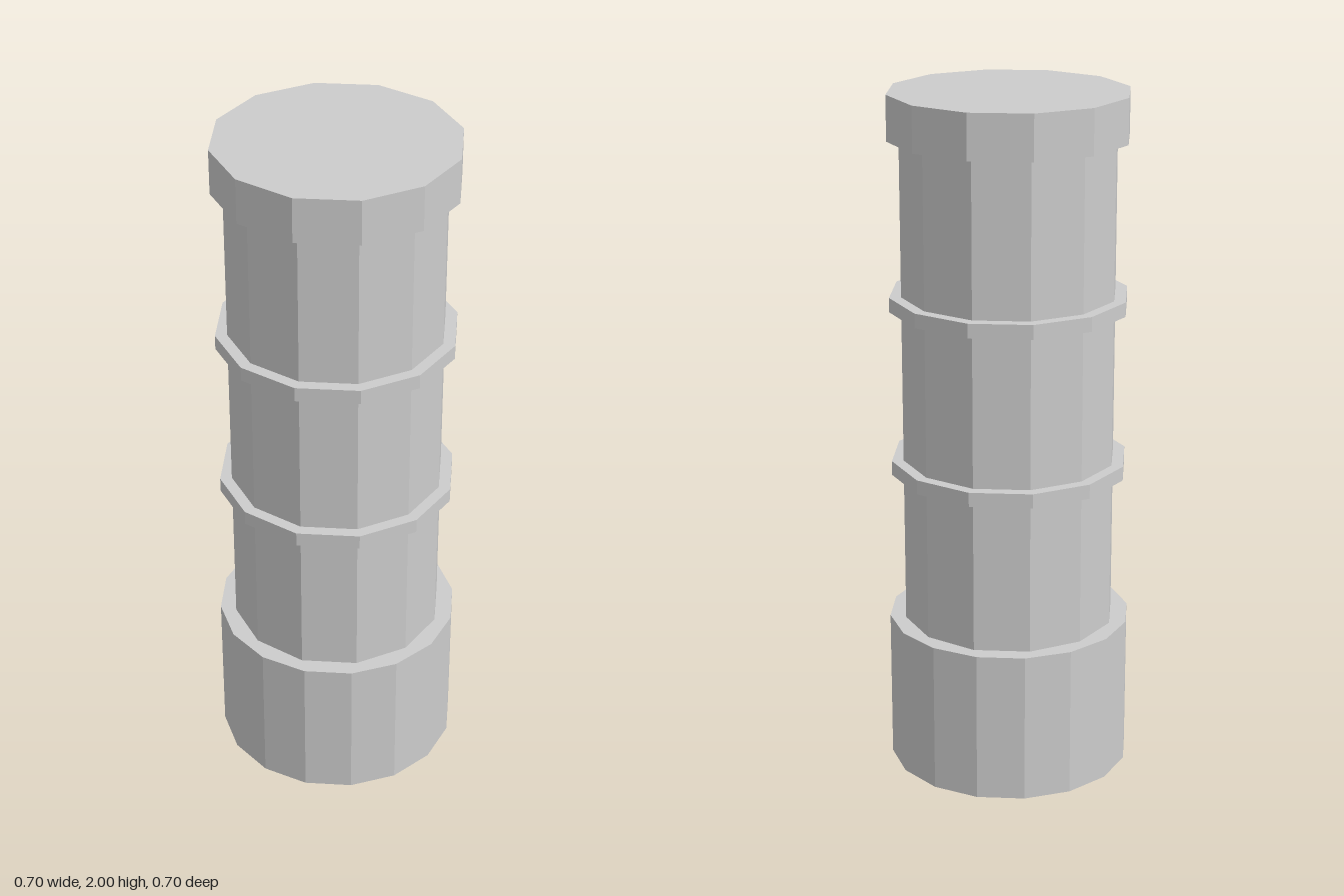
import * as THREE from 'three';

const stone = new THREE.MeshStandardMaterial({ color: 0xcccccc, flatShading: true });
stone.name = 'light grey';

// Upright prism with flat sides facing the axes; apothem is the distance to a flat.
function prism(name, sides, apothem, bottom, top, open = false) {
  const radius = apothem / Math.cos(Math.PI / sides);
  const geometry = new THREE.CylinderGeometry(radius, radius, top - bottom, sides, 1, open);
  geometry.rotateY(Math.PI / sides);
  geometry.translate(0, (top + bottom) / 2, 0);
  const mesh = new THREE.Mesh(geometry, stone);
  mesh.name = name;
  return mesh;
}

export function createModel() {
  const column = new THREE.Group();
  column.name = 'column';

  // Wide foot
  column.add(prism('base', 16, 0.348, 0, 0.445));

  // Main shaft, ends hidden inside base and cap
  column.add(prism('shaft', 12, 0.3, 0.445, 1.87, true));

  // Two thin bands around the shaft
  [['lowerBand', 0.895], ['upperBand', 1.383]].forEach(([name, y]) => {
    column.add(prism(name, 12, 0.333, y, y + 0.042));
  });

  // Top cap
  column.add(prism('cap', 12, 0.333, 1.87, 2));

  return column;
}
